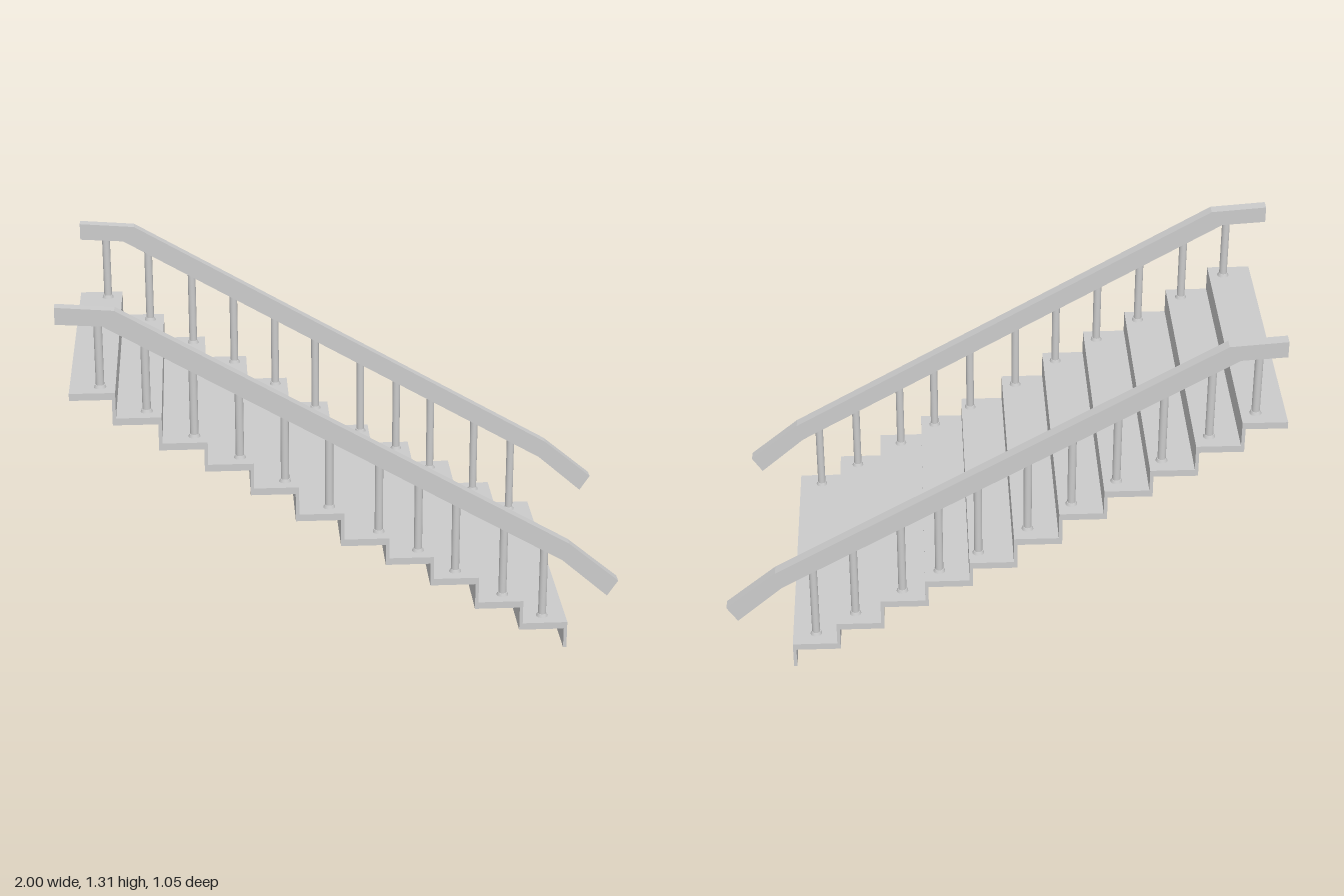
import * as THREE from 'three';

const mat = new THREE.MeshStandardMaterial({ color: 0xcccccc });

// Top height and front (nose) edge of each tread, from bottom to top
const treadTop = [0.1, 0.188, 0.285, 0.37, 0.447, 0.547, 0.65, 0.743, 0.826, 0.922, 1.015];
const treadNose = [0.765, 0.605, 0.445, 0.285, 0.127, -0.03, -0.187, -0.342, -0.498, -0.652, -0.806];
const balusterX = [0.682, 0.537, 0.366, 0.233, 0.094, -0.08, -0.233, -0.388, -0.543, -0.703, -0.858];
const DEPTH = 1.055, TREAD = 0.025, RISER = 0.012;

// Handrail side outline: level top, long slope, steeper lower end
const railOutline = [
  [-1, 1.31], [-0.8, 1.295], [0.767, 0.39], [0.948, 0.24],
  [0.91, 0.182], [0.745, 0.326], [-0.842, 1.24], [-1, 1.25],
];

// Height of the rail underside at x
function railUnderside(x) {
  const pts = railOutline.slice(4);
  for (let i = 0; i < pts.length - 1; i++) {
    const [x0, y0] = pts[i], [x1, y1] = pts[i + 1];
    if (x <= x0 && x >= x1) return y0 + ((x - x0) / (x1 - x0)) * (y1 - y0);
  }
  return pts[0][1];
}

function addBox(group, name, x0, x1, y0, y1) {
  const mesh = new THREE.Mesh(new THREE.BoxGeometry(x1 - x0, y1 - y0, DEPTH), mat);
  mesh.name = name;
  mesh.position.set((x0 + x1) / 2, (y0 + y1) / 2, 0);
  group.add(mesh);
}

// Round post with a small foot flange
function makeBaluster(height) {
  const g = new THREE.Group();
  g.name = 'baluster';
  const post = new THREE.Mesh(new THREE.CylinderGeometry(0.0145, 0.0145, height, 16), mat);
  post.name = 'post';
  post.position.y = height / 2;
  const foot = new THREE.Mesh(new THREE.CylinderGeometry(0.017, 0.021, 0.011, 16), mat);
  foot.name = 'foot';
  foot.position.y = 0.0055;
  g.add(post, foot);
  return g;
}

function makeRailing(name, z, shift) {
  const g = new THREE.Group();
  g.name = name;
  const width = 0.042;
  const shape = new THREE.Shape(railOutline.map(([x, y]) => new THREE.Vector2(x, y)));
  const geo = new THREE.ExtrudeGeometry(shape, { depth: width, bevelEnabled: false });
  geo.translate(shift, 0, -width / 2);
  const rail = new THREE.Mesh(geo, mat);
  rail.name = 'handrail';
  g.add(rail);
  balusterX.forEach((x, i) => {
    const b = makeBaluster(railUnderside(x - shift) + 0.02 - treadTop[i]);
    b.position.set(x, treadTop[i], 0);
    g.add(b);
  });
  g.position.z = z;
  return g;
}

export function createModel() {
  const model = new THREE.Group();
  model.name = 'staircase';

  // Treads, each with a thin riser down to the step below
  const steps = new THREE.Group();
  steps.name = 'steps';
  treadTop.forEach((top, i) => {
    const nose = treadNose[i];
    const back = i < treadNose.length - 1 ? treadNose[i + 1] - 0.004 : -0.962;
    const below = i > 0 ? treadTop[i - 1] - TREAD : 0;
    addBox(steps, 'tread', back, nose, top - TREAD, top);
    addBox(steps, 'riser', nose - RISER, nose, below, top - TREAD);
  });
  model.add(steps);

  // Railings; the far one sits slightly further along
  model.add(makeRailing('frontRailing', 0.469, 0));
  model.add(makeRailing('backRailing', -0.465, 0.048));
  return model;
}
